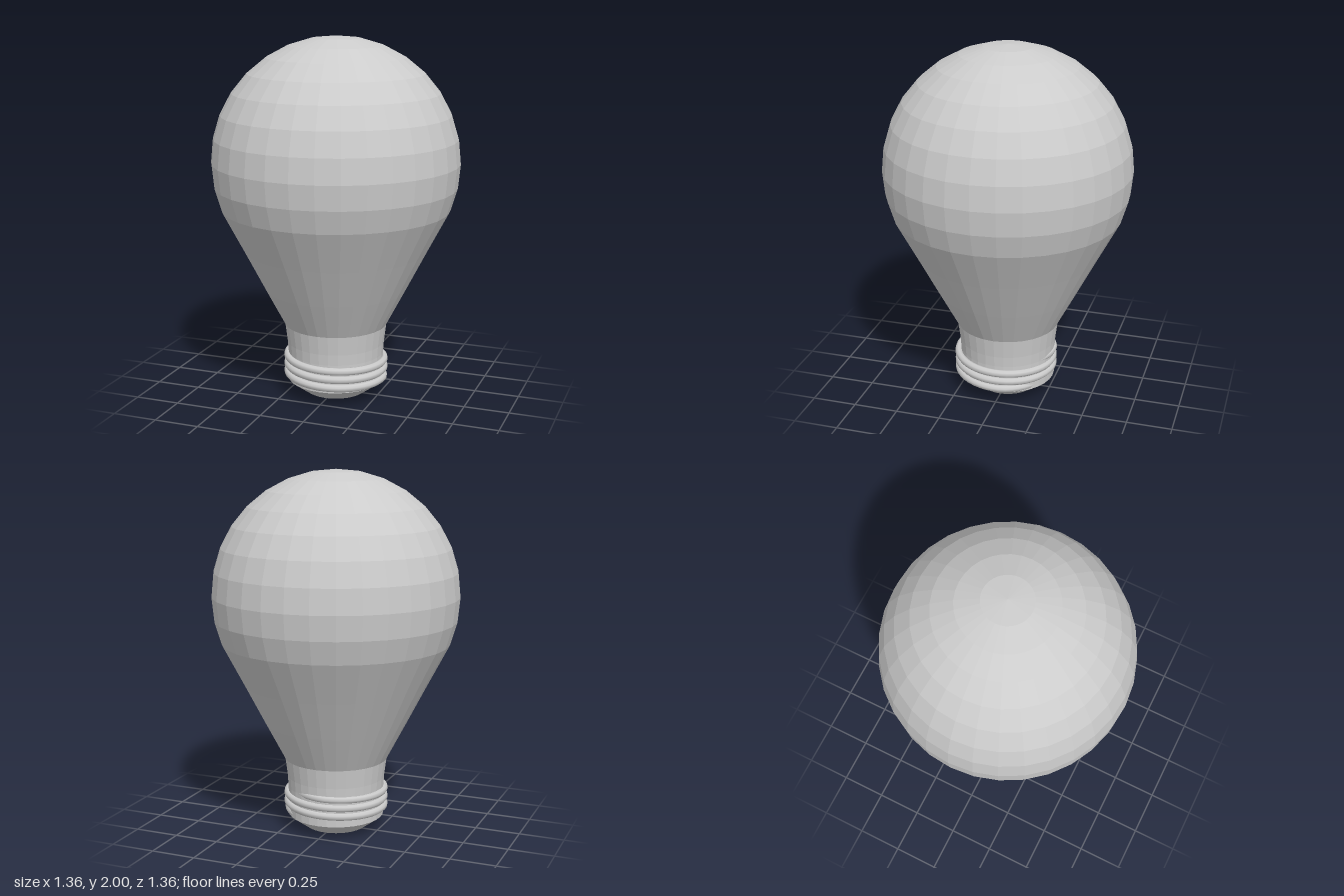
import * as THREE from 'three';

const SIDES = 32;

function lathePart(name, profile) {
  const points = profile.map(([r, y]) => new THREE.Vector2(r, y));
  const material = new THREE.MeshStandardMaterial({ color: 0xcccccc, flatShading: true });
  const mesh = new THREE.Mesh(new THREE.LatheGeometry(points, SIDES), material);
  mesh.name = name;
  return mesh;
}

// Screw thread: a helix sinking slightly into the base at both ends
class Helix extends THREE.Curve {
  getPoint(t, target = new THREE.Vector3()) {
    const turns = 3;
    const angle = Math.PI * 0.8 + t * turns * Math.PI * 2;
    const fade = Math.min(1, Math.min(t, 1 - t) * 25);
    const r = 0.25 + 0.022 * fade;
    // starts at the back left, runs round the back, right, front, left
    return target.set(
      0.004 + Math.sin(angle) * r,
      0.243 - t * turns * 0.048,
      0.01 + Math.cos(angle) * r
    );
  }
}

export function createModel() {
  const model = new THREE.Group();
  model.name = 'lightBulb';

  // Glass: tapered neck running into a sphere
  const glass = [[0.268, 0.24], [0.272, 0.3], [0.285, 0.405], [0.392, 0.61], [0.505, 0.83]];
  const R = 0.678;
  for (let i = 10; i >= 0; i--) {
    const a = (i * Math.PI) / 16;
    glass.push([i ? R * Math.sin(a) : 0, 1.322 + R * Math.cos(a)]);
  }
  model.add(lathePart('glass', glass));

  // Base: straight collar and chamfered contact
  model.add(lathePart('screwBase', [[0.267, 0.08], [0.268, 0.24]]));
  model.add(lathePart('contact', [[0, 0], [0.17, 0.01], [0.267, 0.08]]));

  const thread = new THREE.Mesh(
    new THREE.TubeGeometry(new Helix(), 144, 0.021, 8, false),
    new THREE.MeshStandardMaterial({ color: 0xcccccc })
  );
  thread.name = 'thread';
  model.add(thread);
  return model;
}
